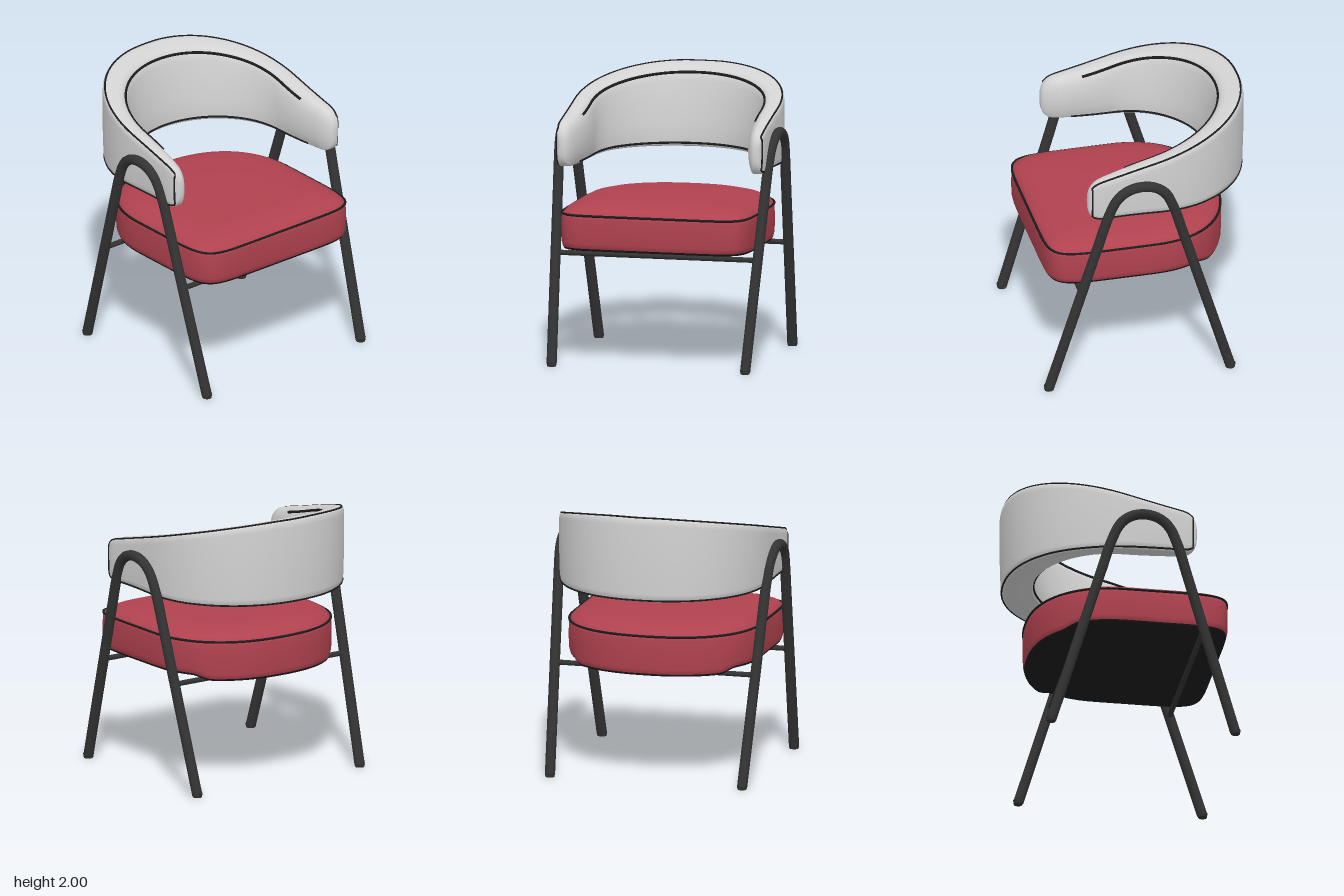
import * as THREE from 'three';

const mat = (name, color, side = THREE.FrontSide) => {
  const m = new THREE.MeshStandardMaterial({ color, side });
  m.name = name;
  return m;
};
const V = (x, y, z) => new THREE.Vector3(x, y, z);
const smooth = THREE.MathUtils.smoothstep;
const lerp = THREE.MathUtils.lerp;

// Skin a list of closed rings (arrays of Vector3) into one smooth surface.
function loft(rings) {
  const n = rings[0].length, pos = [], idx = [];
  rings.forEach(r => r.forEach(p => pos.push(p.x, p.y, p.z)));
  for (let i = 0; i < rings.length - 1; i++) {
    for (let j = 0; j < n; j++) {
      const a = i * n + j, b = i * n + (j + 1) % n, c = a + n, d = b + n;
      idx.push(a, b, c, b, d, c);
    }
  }
  const g = new THREE.BufferGeometry();
  g.setAttribute('position', new THREE.Float32BufferAttribute(pos, 3));
  g.setIndex(idx);
  g.computeVertexNormals();
  return g;
}

const tube = (points, radius, segments, sides = 8, closed = false) =>
  new THREE.TubeGeometry(new THREE.CatmullRomCurve3(points, closed, 'centripetal'), segments, radius, sides, closed);

// Seat plan: squarish front, rounded back; k scales it about its middle.
function seatRing(k, height) {
  const ring = [], N = 112;
  for (let i = 0; i < N; i++) {
    const t = (i / N) * Math.PI * 2, c = Math.cos(t), s = Math.sin(t);
    const back = s >= 0, n = back ? 2.3 : 8, depth = back ? 0.63 : 0.755;
    const x = 0.7 * Math.sign(c) * Math.abs(c) ** (2 / n);
    const z = -depth * Math.sign(s) * Math.abs(s) ** (2 / n);
    const kz = 0.06 + (z - 0.06) * k;
    ring.push(V(x * k, height(kz), kz));
  }
  return ring;
}
const seatBottom = z => lerp(0.835, 0.8, smooth(-z, 0.34, 0.46));

// Backrest cross-sections as [inner-to-outer, bottom-to-top] fractions.
const backSection = [[0.06, 0], [0, 0.04], [0.02, 0.3], [0.1, 0.6], [0.19, 0.85], [0.26, 0.95], [0.36, 0.99],
  [0.5, 1], [0.8, 1], [0.92, 0.99], [0.98, 0.965], [1, 0.9], [1, 0.5], [0.97, 0.1], [0.94, 0.025], [0.86, 0], [0.5, 0]];
const armSection = [[0.3, 0], [0.18, 0.05], [0.05, 0.25], [0, 0.5], [0.06, 0.76], [0.2, 0.91], [0.36, 0.97],
  [0.5, 1], [0.76, 1], [0.9, 0.98], [0.97, 0.95], [1, 0.85], [1, 0.5], [0.97, 0.15], [0.92, 0.05], [0.8, 0], [0.55, 0]];

function backrestRing(inner, outer, shrink) {
  const w = smooth(outer.z, -0.4, 0.3);
  return backSection.map(([s0, h0], j) => {
    const s = 0.5 + (lerp(s0, armSection[j][0], w) - 0.5) * shrink;
    const h = 0.5 + (lerp(h0, armSection[j][1], w) - 0.5) * shrink;
    const p = inner.clone().lerp(outer, s);
    const low = lerp(1.37 + 0.04 * (1 - s), 1.385, w);
    const high = Math.min(1.805 - 0.25 * p.z, 1.998);
    p.y = lerp(low, high, h);
    return p;
  });
}

function backrestRings() {
  const half = [];
  // Rounded arm end, then the straight arm
  const tip = [1, 0.985, 0.95, 0.88, 0.76, 0.6, 0.4, 0.2, 0].map(q => [0.36 + 0.13 * q, (1 - q ** 3) ** (1 / 3)]);
  [...tip, [0.28, 1], [0.2, 1], [0.1, 1]].forEach(([z, e]) => half.push(backrestRing(
    V(0.59 + 0.07 * (z / 0.49) ** 2, 0, z), V(0.765, 0, z), e)));
  // Curved back
  for (let i = 0; i <= 24; i++) {
    const t = (i / 24) * Math.PI / 2, c = Math.cos(t), s = Math.sin(t);
    half.push(backrestRing(V(0.59 * c, 0, -0.56 * s), V(0.765 * c ** 0.91, 0, -0.8 * s ** 0.95), 1));
  }
  const mirrored = half.slice(0, -1).reverse().map(r => r.map(p => V(-p.x, p.y, p.z)));
  return [...half, ...mirrored];
}

export function createModel() {
  const model = new THREE.Group();
  model.name = 'armchair';
  const red = mat('red upholstery', 0xb0424f);
  const grey = mat('light grey upholstery', 0xd3d3d3);
  const frame = mat('dark frame', 0x333333);
  const black = mat('black piping', 0x1c1c1c);
  const add = (name, geometry, material, parent = model) => {
    const m = new THREE.Mesh(geometry, material);
    m.name = name;
    parent.add(m);
    return m;
  };

  // Seat cushion with domed top
  const cushion = [[0.965, z => seatBottom(z) + 0.005], [0.985, z => seatBottom(z) + 0.015],
    [0.997, z => seatBottom(z) + 0.05], [1, () => 0.97], [0.997, () => 1.06], [0.985, () => 1.09],
    [0.95, () => 1.115], [0.88, () => 1.14], [0.78, () => 1.157], [0.6, () => 1.166], [0.3, () => 1.17], [0, () => 1.17]];
  add('seatCushion', loft(cushion.map(([k, f]) => seatRing(k, f))), red);

  // Black underside of the seat
  const under = [0, 0.3, 0.5, 0.6, 0.7, 0.8, 0.88, 0.94, 0.975].map(k => seatRing(k, seatBottom));
  under.push(seatRing(0.985, z => seatBottom(z) + 0.015));
  add('seatUnderside', loft(under), black);
  add('seatPiping', tube(seatRing(0.993, () => 1.088), 0.009, 300, 6, true), black);

  // Wraparound backrest
  const rings = backrestRings(), last = rings.length - 1;
  add('backrest', loft(rings), grey);

  // Piping follows the backrest section corners
  const along = (j, from) => rings.slice(from, last - from + 1).map(r => r[j]);
  add('innerTopPiping', tube(along(5, 10), 0.01, 200, 6), black);
  add('innerBottomPiping', tube(along(1, 9), 0.008, 200, 6), black);
  const end = 4;
  const down = [10, 11, 12, 13];
  const outerLoop = [
    ...along(9, end),
    ...down.map(j => rings[last - end][j]),
    ...along(14, end).reverse(),
    ...down.slice().reverse().map(j => rings[end][j]),
  ];
  add('outerPiping', tube(outerLoop, 0.007, 400, 6, true), black);

  // Arched side frames: [x, y, z offset from the arch middle]
  const leg = [[0.712, 0.012, 0.665], [0.742, 0.75, 0.443], [0.76, 1.2, 0.308], [0.77, 1.43, 0.237],
    [0.778, 1.56, 0.175], [0.783, 1.622, 0.098]];
  for (const side of [1, -1]) {
    const g = new THREE.Group();
    g.name = side > 0 ? 'leftLegFrame' : 'rightLegFrame';
    model.add(g);
    const pts = [
      ...leg.map(([x, y, d]) => V(x * side, y, 0.105 + d)),
      V(0.785 * side, 1.643, 0.105),
      ...leg.slice().reverse().map(([x, y, d]) => V(x * side, y, 0.105 - d)),
    ];
    add('legArch', tube(pts, 0.037, 120, 14), frame, g);
    for (const d of [0.665, -0.665]) {
      add('foot', new THREE.CylinderGeometry(0.037, 0.032, 0.03, 14), frame, g).position.set(0.712 * side, 0.015, 0.105 + d);
    }
  }

  // Cross rails under the seat
  for (const [name, z] of [['frontRail', 0.535], ['rearRail', -0.325]]) {
    const rail = add(name, new THREE.CylinderGeometry(0.019, 0.019, 1.47, 12), frame);
    rail.rotation.z = Math.PI / 2;
    rail.position.set(0, 0.785, z);
  }
  return model;
}
